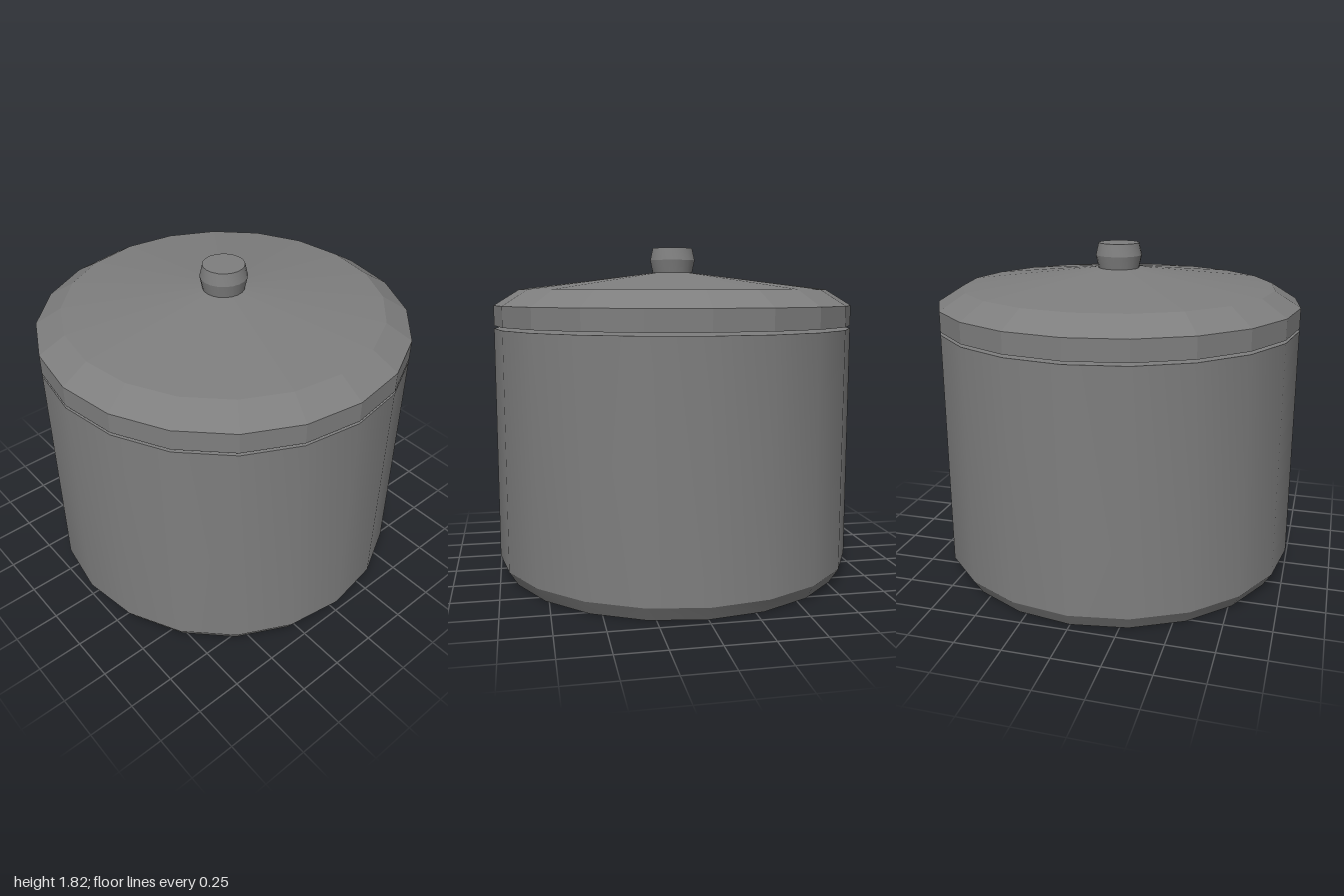
import * as THREE from 'three';
import { toCreasedNormals } from 'three/addons/utils/BufferGeometryUtils.js';

const SIDES = 20;

// Turned part from a profile of [radius, height] pairs, listed bottom to top
function turned(name, profile, flatShading = false) {
  const points = profile.map(([r, y]) => new THREE.Vector2(r, y));
  const lathe = new THREE.LatheGeometry(points, SIDES);
  const material = new THREE.MeshStandardMaterial({ color: 0x7e7e7e, flatShading });
  // Round the sides, keep the rims sharp
  const mesh = new THREE.Mesh(toCreasedNormals(lathe, 0.36), material);
  mesh.name = name;
  return mesh;
}

export function createModel() {
  const model = new THREE.Group();
  model.name = 'liddedPot';

  // Body with a chamfered foot
  model.add(turned('body', [[0, 0], [0.95, 0], [1, 0.08], [1, 1.375], [0, 1.375]]));

  // Faceted lid, resting a hair above the body
  const lid = new THREE.Group();
  lid.name = 'lid';
  lid.add(turned('lidCover', [[0, 1.39], [1, 1.39], [1, 1.5], [0.86, 1.587], [0.12, 1.68], [0, 1.69]], true));

  // Barrel-shaped knob
  lid.add(turned('knob', [[0, 1.67], [0.11, 1.67], [0.127, 1.75], [0.112, 1.817], [0, 1.817]]));
  model.add(lid);

  return model;
}
